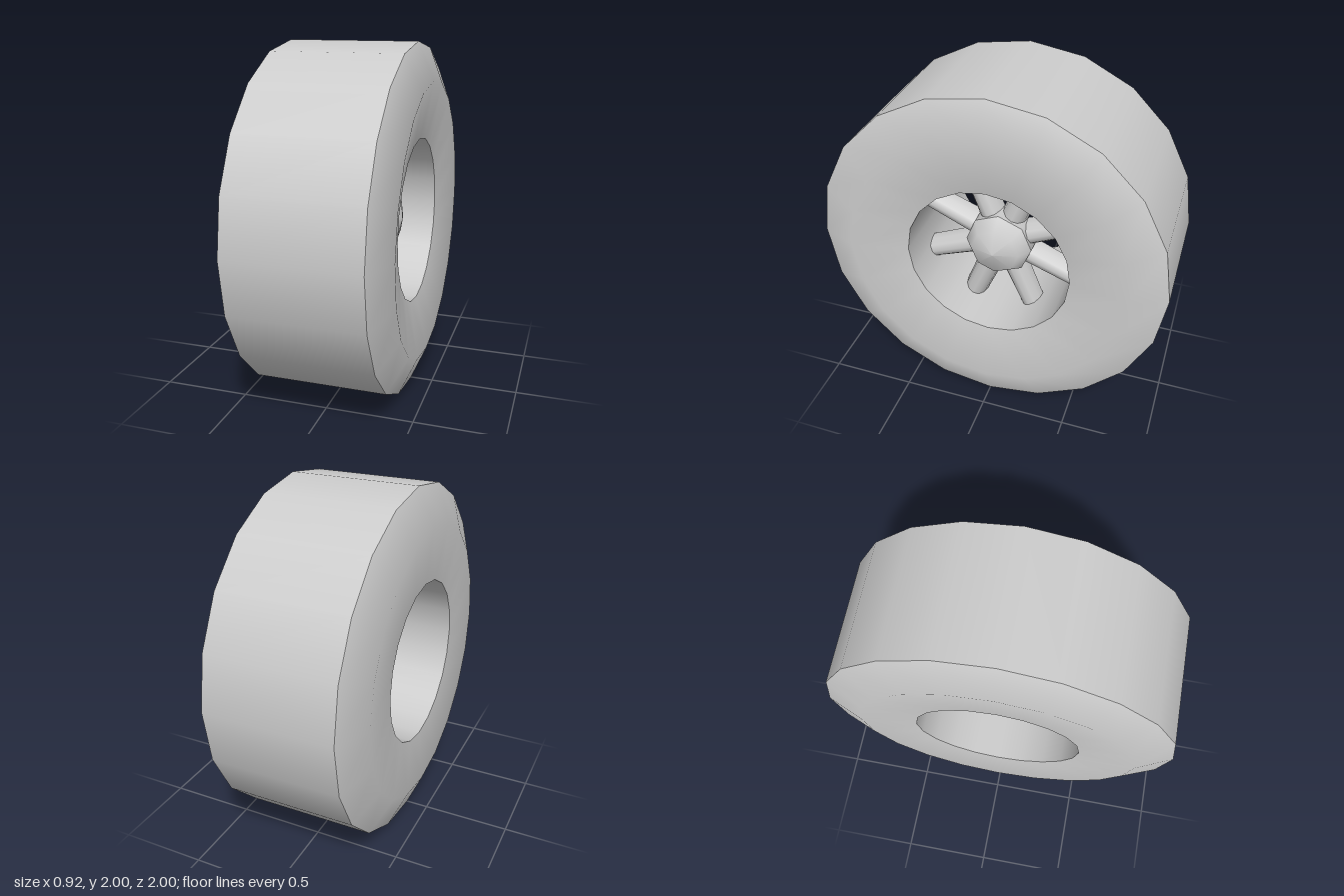
import * as THREE from 'three';

export function createModel() {
  const model = new THREE.Group();
  const grey = new THREE.MeshStandardMaterial({ color: 0xcccccc });
  grey.name = 'plain grey';

  // Surface turned around the axle; profile is a list of [radius, x]
  function turned(name, profile, sides) {
    const points = profile.map(([r, x]) => new THREE.Vector2(r, x));
    const geometry = new THREE.LatheGeometry(points, sides);
    geometry.rotateZ(-Math.PI / 2);
    const mesh = new THREE.Mesh(geometry, grey);
    mesh.name = name;
    return mesh;
  }

  const wheel = new THREE.Group();
  wheel.name = 'wheel';
  wheel.position.y = 1;
  model.add(wheel);

  // Tyre: separate strips keep the tread and rim edges sharp
  wheel.add(
    turned('tread', [[1, -0.37], [1, 0.37]], 20),
    turned('leftSidewall', [[1, 0.37], [0.79, 0.46], [0.47, 0.39]], 20),
    turned('innerBarrel', [[0.47, 0.39], [0.47, -0.43]], 20),
    turned('rightSidewall', [[0.47, -0.43], [0.79, -0.46], [1, -0.37]], 20),
  );

  // Hub: eight-sided drum with a shallow domed cap
  wheel.add(
    turned('hubDrum', [[0.195, 0.07], [0.195, 0.19]], 8),
    turned('hubCap', [[0.195, 0.19], [0.14, 0.265], [0, 0.3]], 8),
  );

  // Spokes: arched half tubes facing outward, open at the back
  const spokeGeometry = new THREE.CylinderGeometry(0.069, 0.076, 0.3, 6, 1, true, 0, Math.PI);
  spokeGeometry.scale(1.4, 1, 1);
  spokeGeometry.translate(0.07, 0.325, 0);
  for (let i = 0; i < 8; i++) {
    const spoke = new THREE.Mesh(spokeGeometry, grey);
    spoke.name = 'spoke' + (i + 1);
    spoke.rotation.x = (i + 0.5) * Math.PI / 4;
    wheel.add(spoke);
  }

  return model;
}
